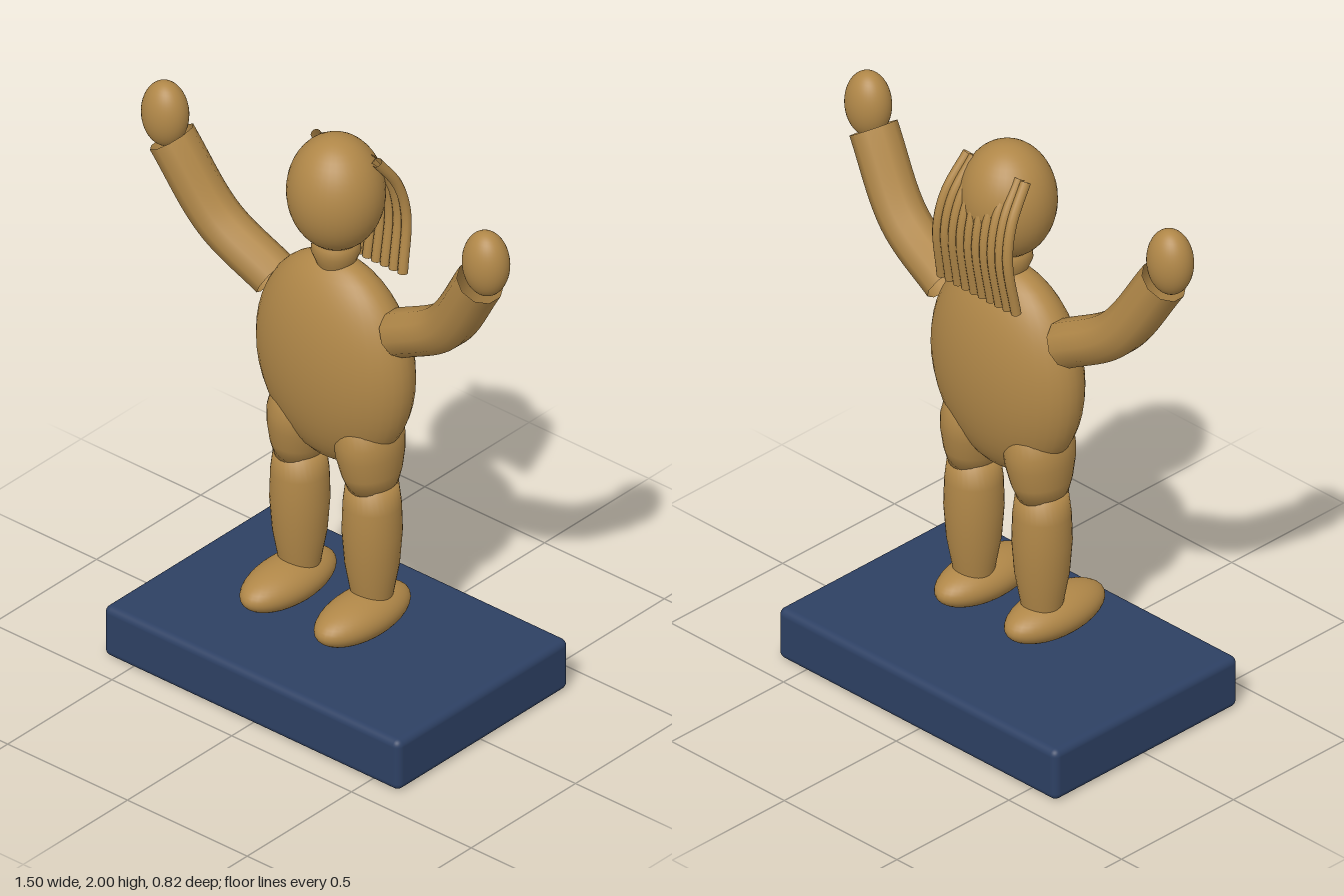
import * as THREE from 'three';
import { RoundedBoxGeometry } from 'three/addons/geometries/RoundedBoxGeometry.js';

export function createModel() {
  const model = new THREE.Group();
  model.name = 'figureOnPlinth';
  const wood = new THREE.MeshStandardMaterial({ color: 0xb08748, side: THREE.DoubleSide });
  wood.name = 'wood';
  const navy = new THREE.MeshStandardMaterial({ color: 0x2d4063 });
  navy.name = 'navy';

  const add = (name, geometry, material = wood) => {
    const mesh = new THREE.Mesh(geometry, material);
    mesh.name = name;
    model.add(mesh);
    return mesh;
  };
  const ellipsoid = (name, pos, radii) => {
    const mesh = add(name, new THREE.SphereGeometry(1, 36, 24));
    mesh.position.set(...pos);
    mesh.scale.set(...radii);
    return mesh;
  };
  const lathe = (points) =>
    new THREE.LatheGeometry(points.map(([r, y]) => new THREE.Vector2(r, y)), 32);
  const tube = (points, radius, sides) =>
    new THREE.TubeGeometry(
      new THREE.CatmullRomCurve3(points.map((p) => new THREE.Vector3(...p))), 24, radius, sides);

  // Plinth
  add('plinth', new RoundedBoxGeometry(1.235, 0.185, 0.82, 4, 0.025), navy).position.y = 0.0975;

  // Torso, neck and head
  ellipsoid('torso', [0, 1.19, 0], [0.305, 0.375, 0.16]);
  add('neck', lathe([[0.055, 1.52], [0.066, 1.55], [0.08, 1.585], [0.077, 1.615], [0.06, 1.65]]));
  ellipsoid('head', [0, 1.8, 0], [0.16, 0.2, 0.155]);

  for (const [side, s] of [['left', 1], ['right', -1]]) {
    // Raised arm and hand
    add(side + 'Arm', tube([
      [s * 0.26, 1.375, -0.005], [s * 0.475, 1.505, 0.015], [s * 0.645, 1.755, 0.048],
    ], 0.08, 10));
    ellipsoid(side + 'Hand', [s * 0.67, 1.835, 0.05], [0.081, 0.115, 0.07]);

    // Thigh, leaning slightly inward
    const thigh = add(side + 'Thigh', lathe([
      [0, 0], [0.085, 0], [0.106, 0.06], [0.121, 0.13], [0.124, 0.18],
      [0.113, 0.24], [0.07, 0.3], [0, 0.32],
    ]));
    thigh.position.set(s * 0.155, 0.765, 0);
    thigh.rotation.z = s * 0.09;
    thigh.scale.x = 0.86;

    // Shin and foot
    const shin = add(side + 'Shin', lathe([
      [0.06, 0.32], [0.072, 0.39], [0.088, 0.48], [0.097, 0.6],
      [0.094, 0.7], [0.084, 0.785], [0, 0.79],
    ]));
    shin.position.x = s * 0.151;
    ellipsoid(side + 'Foot', [s * 0.155, 0.313, 0.052], [0.1, 0.075, 0.203]);
  }

  // Curtain of hair strands down the back
  const strands = 10;
  for (let i = 0; i < strands; i++) {
    const x = (i / (strands - 1)) * 2 - 1;
    add('hairStrand' + (i + 1), tube([
      [x * 0.128, 1.935, -0.05], [x * 0.145, 1.82, -0.13],
      [x * 0.155, 1.7, -0.158], [x * 0.165, 1.5, -0.13],
    ], 0.017, 10));
  }
  return model;
}
